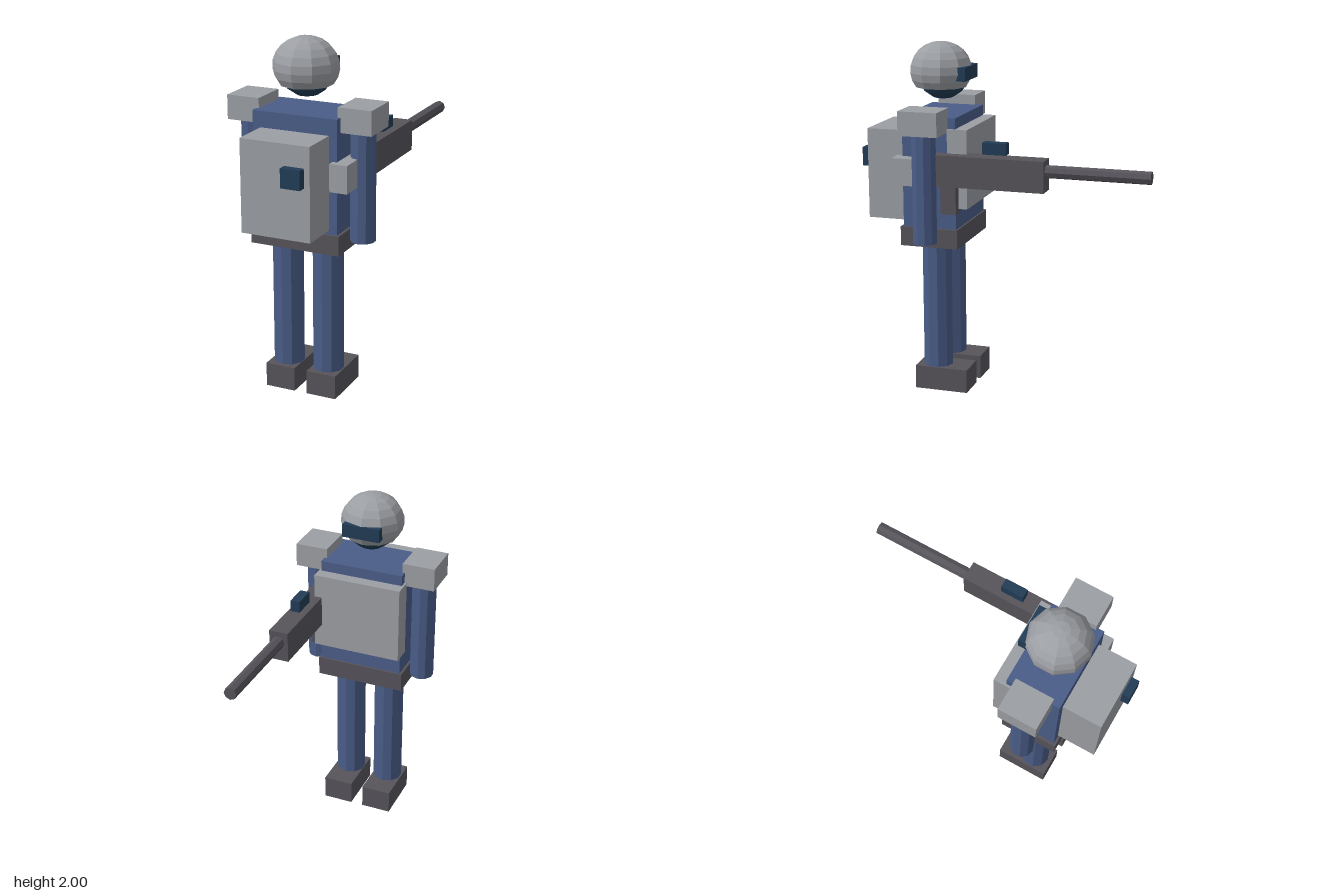
import * as THREE from 'three';

const paint = (color) => new THREE.MeshStandardMaterial({ color, flatShading: true, side: THREE.DoubleSide });

export function createModel() {
  const model = new THREE.Group();
  model.name = 'armouredFigure';
  const cloth = paint(0x4a5d88);
  const armour = paint(0x9b9ea3);
  const dark = paint(0x56535a);
  const navy = paint(0x223c55);

  function add(name, geometry, material, parent = model) {
    const mesh = new THREE.Mesh(geometry, material);
    mesh.name = name;
    parent.add(mesh);
    return mesh;
  }

  // Box given by its extents along each axis
  function box(name, [x0, x1], [y0, y1], [z0, z1], material, parent) {
    const mesh = add(name, new THREE.BoxGeometry(x1 - x0, y1 - y0, z1 - z0), material, parent);
    mesh.position.set((x0 + x1) / 2, (y0 + y1) / 2, (z0 + z1) / 2);
    return mesh;
  }

  // Upright limb
  function limb(name, x, z, radius, y0, y1) {
    const mesh = add(name, new THREE.CylinderGeometry(radius, radius, y1 - y0, 10), cloth);
    mesh.position.set(x, (y0 + y1) / 2, z);
  }

  // Body
  box('torso', [-0.245, 0.245], [0.97, 1.61], [0.26, 0.573], cloth);
  box('belt', [-0.26, 0.26], [0.87, 0.98], [0.25, 0.587], dark);
  box('chestPlate', [-0.258, 0.258], [1.105, 1.55], [0.19, 0.305], armour);

  // Backpack and its small unit
  box('backpack', [-0.2, 0.2], [1.005, 1.52], [0.57, 0.8], armour);
  box('packUnit', [0.055, 0.167], [1.297, 1.403], [0.79, 0.847], navy);

  // Limbs, mirrored
  for (const [side, s] of [['left', 1], ['right', -1]]) {
    const span = (a, b) => (s > 0 ? [a, b] : [-b, -a]);
    limb(side + 'Leg', s * 0.122, 0.42, 0.086, 0.002, 0.88);
    limb(side + 'Arm', s * 0.325, 0.416, 0.069, 0.915, 1.54);
    box(side + 'Boot', span(0.037, 0.213), [0, 0.137], [0.218, 0.53], dark);
    box(side + 'ShoulderPad', span(0.23, 0.42), [1.53, 1.665], [0.305, 0.53], armour);
  }

  // Head, open-bottomed helmet and visor
  const head = add('head', new THREE.SphereGeometry(0.15, 10, 8), navy);
  head.position.set(0, 1.825, 0.415);
  const helmet = add('helmet', new THREE.SphereGeometry(0.18, 10, 8, 0, Math.PI * 2, 0, Math.PI * 0.7), armour);
  helmet.scale.y = 0.89;
  helmet.rotation.y = Math.PI / 2;
  helmet.position.set(0, 1.84, 0.427);
  box('visor', [-0.11, 0.11], [1.793, 1.87], [0.247, 0.315], navy);

  // Rifle
  const rifle = new THREE.Group();
  rifle.name = 'rifle';
  model.add(rifle);
  box('rifleBody', [0.213, 0.324], [1.24, 1.415], [-0.267, 0.4], dark, rifle);
  box('rifleStock', [0.22, 0.32], [1.23, 1.383], [0.39, 0.613], armour, rifle);
  box('magazine', [0.232, 0.305], [1.08, 1.25], [0.24, 0.33], dark, rifle);
  box('sight', [0.243, 0.297], [1.43, 1.495], [-0.047, 0.088], navy, rifle);
  const barrel = add('barrel', new THREE.CylinderGeometry(0.036, 0.036, 0.6, 8), dark, rifle);
  barrel.rotation.x = Math.PI / 2;
  barrel.position.set(0.269, 1.352, -0.545);

  return model;
}
